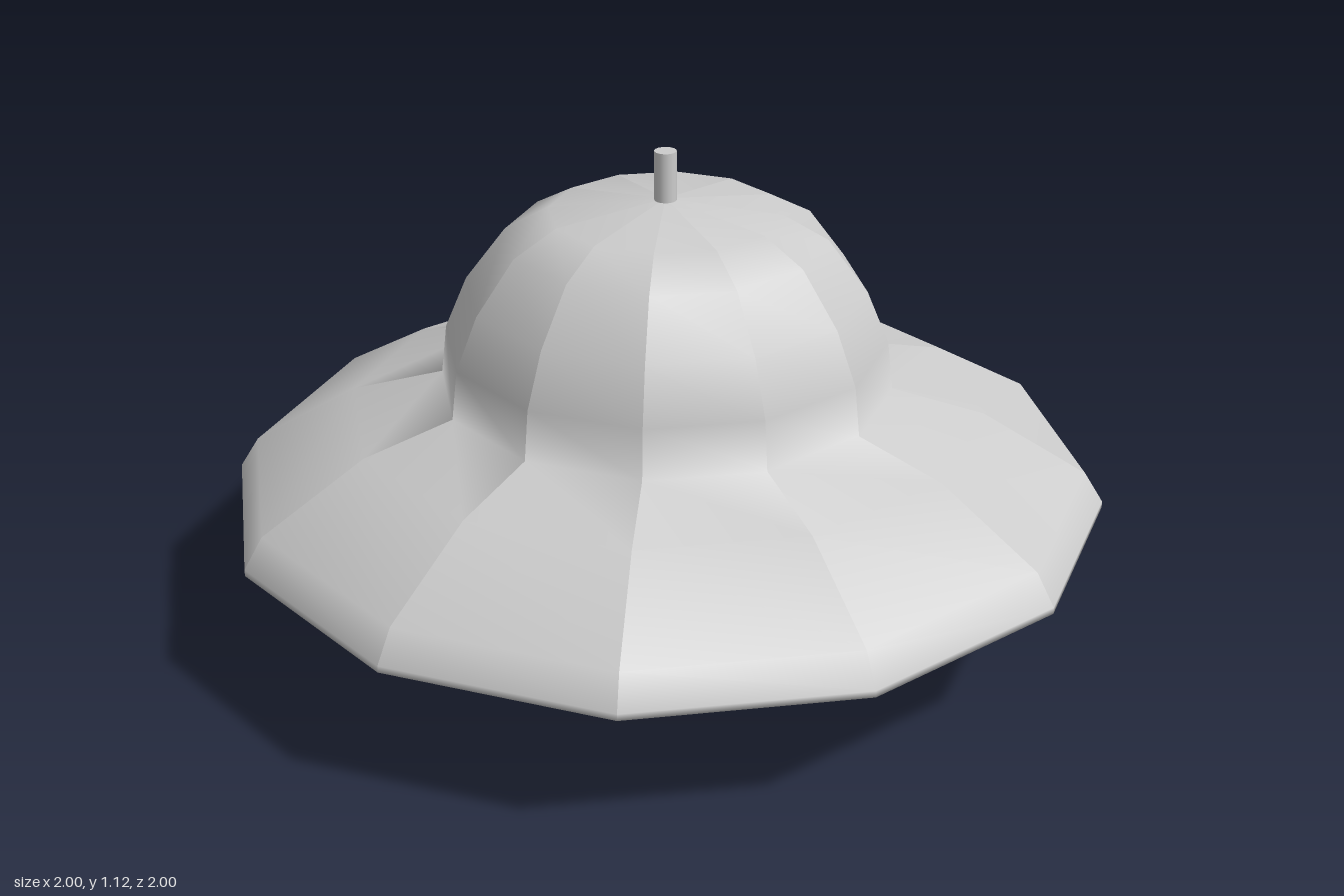
import * as THREE from 'three';
import { mergeGeometries } from 'three/addons/utils/BufferGeometryUtils.js';

const SIDES = 12;

// Each panel is a one-segment lathe: smooth along the profile, creased between panels
function panelledLathe(profile) {
  const points = profile.map(([r, y]) => new THREE.Vector2(r, y));
  const step = (Math.PI * 2) / SIDES;
  const panels = [];
  for (let i = 0; i < SIDES; i++) {
    const panel = new THREE.LatheGeometry(points, 1, i * step, step);
    panel.computeVertexNormals();
    panels.push(panel);
  }
  return mergeGeometries(panels);
}

export function createModel() {
  const group = new THREE.Group();
  group.name = 'flyingSaucer';
  const material = new THREE.MeshStandardMaterial({ color: 0xcccccc });

  // Saucer and dome in one continuous skin, from the belly up to the crown
  const hull = new THREE.Mesh(panelledLathe([
    [0, 0.01], [0.385, 0.03], [0.61, 0.095],          // belly
    [1, 0.295], [1, 0.31], [0.957, 0.38],             // rim
    [0.72, 0.52], [0.513, 0.573],                     // upper deck
    [0.5, 0.685], [0.45, 0.805], [0.36, 0.925],       // dome
    [0.26, 0.98], [0, 1.01],
  ]), material);
  hull.name = 'hull';
  group.add(hull);

  // Mast running through the hull, just showing under the belly
  const antenna = new THREE.Mesh(new THREE.CylinderGeometry(0.025, 0.025, 1.12, 16), material);
  antenna.name = 'antenna';
  antenna.position.y = 0.56;
  group.add(antenna);

  return group;
}
